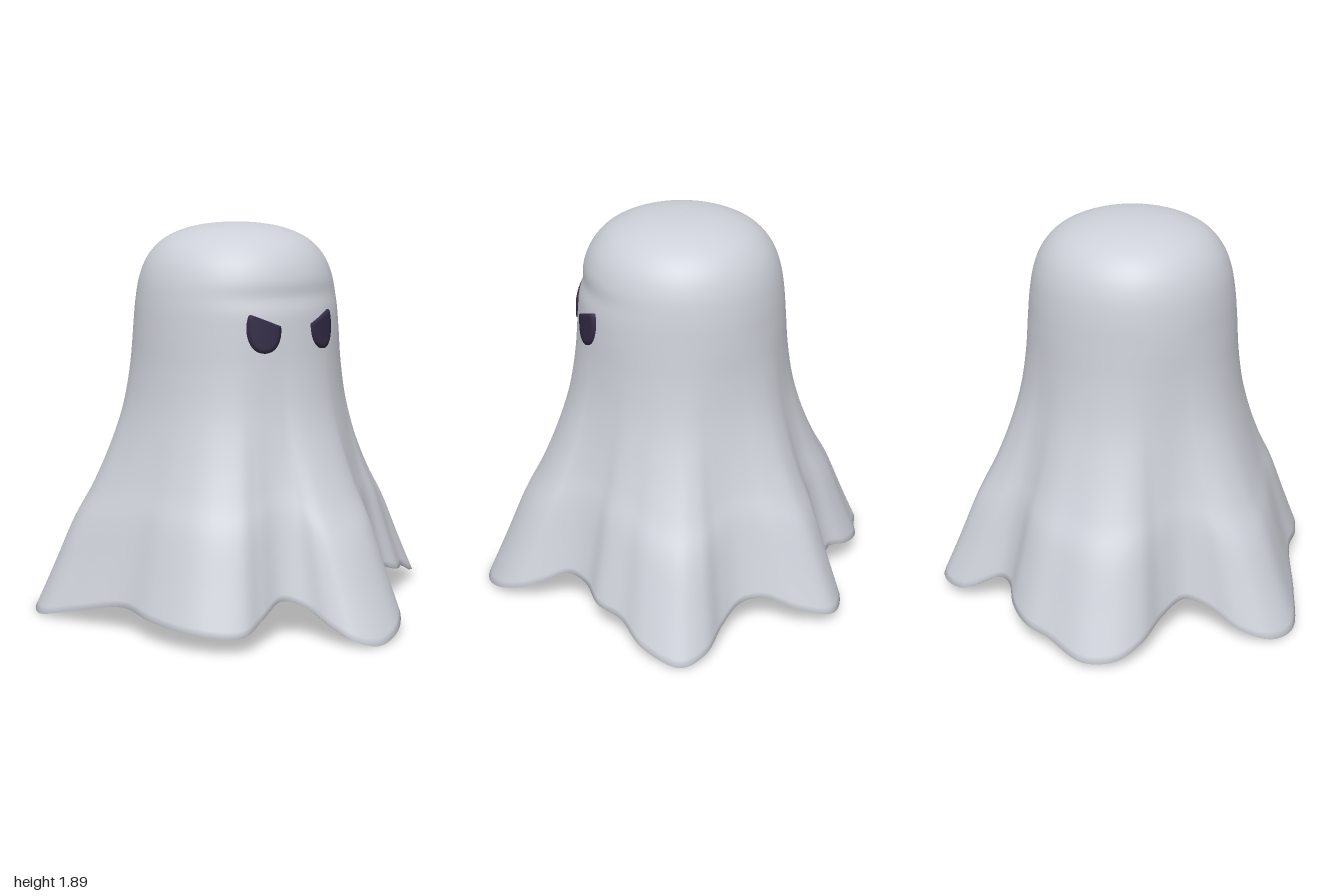
import * as THREE from 'three';

const CX = -0.025, CZ = -0.02, NECK = 1.4;

// Hem of the sheet: x, height, z, running from the front towards +x
const HEM = [
  [0.08, 0, 1.0], [0.22, 0.03, 0.96], [0.32, 0.08, 0.86], [0.36, 0.13, 0.74], [0.41, 0.2, 0.61],
  [0.5, 0.19, 0.53], [0.62, 0.15, 0.49], [0.73, 0.13, 0.39], [0.87, 0.06, 0.31], [0.99, 0.01, 0.14],
  [0.94, 0.04, 0.01], [0.81, 0.1, -0.09], [0.73, 0.16, -0.19], [0.72, 0.17, -0.31], [0.76, 0.11, -0.48],
  [0.74, 0.06, -0.65], [0.6, 0.06, -0.72], [0.4, 0.16, -0.69], [0.32, 0.17, -0.73], [0.24, 0.13, -0.84],
  [0.13, 0.1, -0.92], [0, 0.08, -0.95], [-0.2, 0.03, -1.0], [-0.35, 0.04, -0.94], [-0.43, 0.09, -0.82],
  [-0.46, 0.14, -0.65], [-0.52, 0.18, -0.53], [-0.63, 0.15, -0.5], [-0.8, 0.06, -0.5], [-0.94, 0.01, -0.44],
  [-1.0, 0, -0.3], [-0.93, 0.06, -0.08], [-0.81, 0.13, 0.2], [-0.78, 0.11, 0.4], [-0.68, 0.09, 0.63],
  [-0.51, 0.08, 0.75], [-0.38, 0.13, 0.72], [-0.25, 0.19, 0.69], [-0.16, 0.16, 0.75], [-0.1, 0.09, 0.87],
  [-0.03, 0.03, 0.96],
];

// Profile from crown to hem: round radius, blend towards the hem outline, height
const PROFILE = [
  [0, 0, 1.89], [0.12, 0, 1.884], [0.25, 0, 1.858], [0.36, 0, 1.805], [0.43, 0, 1.73],
  [0.47, 0, 1.64], [0.492, 0, 1.53], [0.505, 0, 1.4], [0.505, 0.04, 1.2], [0.505, 0.115, 1.0],
  [0.505, 0.25, 0.8], [0.505, 0.43, 0.6], [0.505, 0.61, 0.44], [0.505, 0.82, 0.2], [0.505, 1, 0],
];

const toCurve = (pts, closed) =>
  new THREE.CatmullRomCurve3(pts.map((p) => new THREE.Vector3(...p)), closed);

// Join a grid of points into a surface; rows run down, columns run towards +x at the front
function gridGeometry(rows, wrap) {
  const n = rows[0].length, index = [];
  for (let i = 0; i < rows.length - 1; i++) {
    for (let j = 0; j < (wrap ? n : n - 1); j++) {
      const k = (j + 1) % n;
      const a = i * n + j, b = a + n, c = i * n + k, d = c + n;
      index.push(a, b, c, b, d, c);
    }
  }
  const geo = new THREE.BufferGeometry();
  geo.setAttribute('position', new THREE.Float32BufferAttribute(rows.flat(2), 3));
  geo.setIndex(index);
  geo.computeVertexNormals();
  return geo;
}

// Draped sheet: a round head that blends into the wavy hem, with a thin inner layer
function sheetGeometry() {
  const COLS = 240, ROWS = 84, THICK = 0.018;
  const hem = toCurve(HEM, true), profile = toCurve(PROFILE, false);
  const edge = Array.from({ length: COLS }, (_, j) => hem.getPoint(j / COLS));
  const outer = [], inner = [];
  for (let i = 0; i <= ROWS; i++) {
    const { x: r, y: k, z: h } = profile.getPoint(i / ROWS);
    const drop = Math.max(0, 1 - h / NECK);
    const out = [], inn = [];
    for (const e of edge) {
      const angle = Math.atan2(e.x - CX, e.z - CZ);
      const sx = Math.sin(angle), sz = Math.cos(angle);
      // shallow crease above the eyes forms the brow
      const brow = 0.012 * Math.exp(-(((h - 1.56) / 0.05) ** 2)) * Math.max(0, sz) ** 4;
      const x = THREE.MathUtils.lerp(CX + sx * (r - brow), e.x, k);
      const z = THREE.MathUtils.lerp(CZ + sz * (r - brow), e.z, k);
      const y = h + e.y * drop;
      const inset = Math.min(THICK, r);
      out.push([x, y, z]);
      inn.push([x - sx * inset, y - THICK * (1 - drop), z - sz * inset]);
    }
    outer.push(out);
    inner.unshift(inn);
  }
  return gridGeometry([...outer, ...inner], true);
}

// Angry eye, wrapped onto the head; side is +1 or -1
function eyeGeometry(side) {
  const shape = new THREE.Shape();
  shape.moveTo(0.09, 1.433);
  shape.lineTo(0.226, 1.49);
  shape.bezierCurveTo(0.258, 1.41, 0.235, 1.31, 0.17, 1.31);
  shape.bezierCurveTo(0.115, 1.31, 0.085, 1.365, 0.09, 1.433);
  const outline = shape.getSpacedPoints(48);
  const center = new THREE.Vector2(0.165, 1.395);
  const place = (p, lift) => {
    const R = 0.521 - (p.y - 1.31) * 0.05 + lift;
    return [CX + side * p.x, p.y, CZ + Math.sqrt(R * R - p.x * p.x)];
  };
  const rows = [0, 0.25, 0.5, 0.75, 1].map((s) =>
    outline.map((p) => place(center.clone().lerp(p, s), 0)));
  rows.push(outline.map((p) => place(p, -0.035))); // rim sunk into the sheet
  // keep faces outward for both the eye and its mirror
  if (THREE.ShapeUtils.isClockWise(outline) !== (side < 0)) rows.forEach((row) => row.reverse());
  return gridGeometry(rows, false);
}

export function createModel() {
  const cloth = new THREE.MeshStandardMaterial({ color: 0xcdd0d8 });
  cloth.name = 'paleGreyCloth';
  const dark = new THREE.MeshStandardMaterial({ color: 0x322a45 });
  dark.name = 'darkPurple';

  const model = new THREE.Group();
  model.name = 'ghost';
  const add = (name, geometry, material) => {
    const mesh = new THREE.Mesh(geometry, material);
    mesh.name = name;
    model.add(mesh);
  };
  add('sheet', sheetGeometry(), cloth);
  add('leftEye', eyeGeometry(1), dark);
  add('rightEye', eyeGeometry(-1), dark);
  return model;
}
